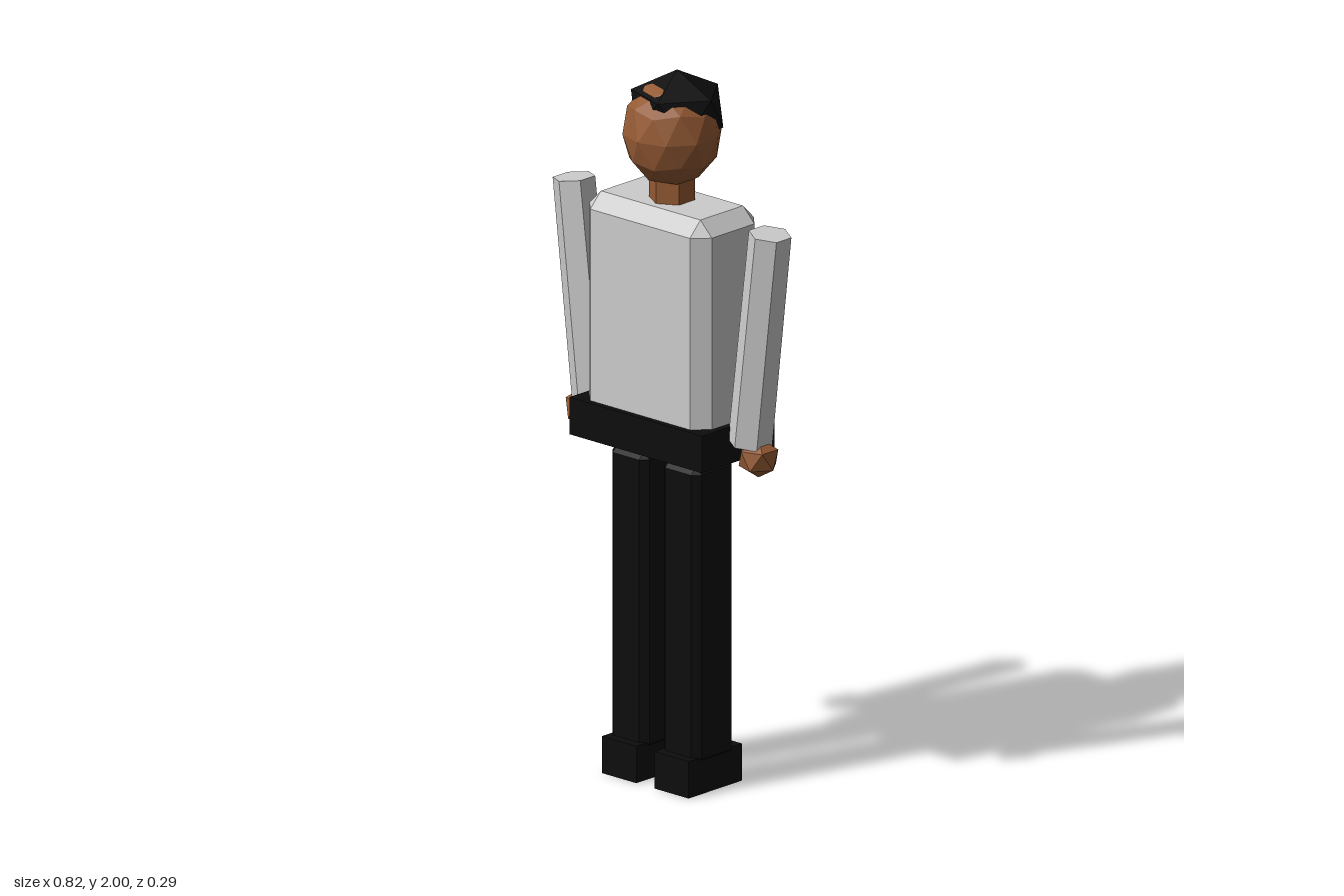
import * as THREE from 'three';
import { ConvexGeometry } from 'three/addons/geometries/ConvexGeometry.js';

const material = (name, color) => {
  const m = new THREE.MeshStandardMaterial({ color, flatShading: true });
  m.name = name;
  return m;
};

// Box with every edge cut by a flat chamfer c
function chamferBox(w, h, d, c) {
  const half = [w / 2, h / 2, d / 2];
  const points = [];
  for (const sx of [-1, 1]) for (const sy of [-1, 1]) for (const sz of [-1, 1])
    for (let axis = 0; axis < 3; axis++) {
      const p = half.map((v, i) => (i === axis ? v : v - c));
      points.push(new THREE.Vector3(p[0] * sx, p[1] * sy, p[2] * sz));
    }
  return new ConvexGeometry(points);
}

// Icosphere with a vertex at each pole, split into halved triangles when detail is 1
function poleSphere(rx, ry, rz, detail) {
  return new THREE.IcosahedronGeometry(1, detail)
    .rotateX(-Math.atan((1 + Math.sqrt(5)) / 2))
    .rotateY(Math.PI / 2)
    .scale(rx, ry, rz);
}

export function createModel() {
  const model = new THREE.Group();
  model.name = 'standingMan';
  const shirt = material('shirtGrey', 0xcccccc);
  const black = material('clothBlack', 0x0d0d0d);
  const skin = material('skinBrown', 0x945a34);

  const add = (name, geometry, mat, x, y, z) => {
    const mesh = new THREE.Mesh(geometry, mat);
    mesh.name = name;
    mesh.position.set(x, y, z);
    model.add(mesh);
    return mesh;
  };

  // Body
  add('torso', chamferBox(0.45, 0.7, 0.252, 0.042), shirt, 0, 1.29, 0);
  add('belt', new THREE.BoxGeometry(0.488, 0.105, 0.286), black, 0, 1.003, 0);

  // Head; the hair cap sits slightly back and the forehead breaks through it
  add('neck', new THREE.CylinderGeometry(0.063, 0.063, 0.15, 6), skin, 0, 1.69, 0);
  add('head', poleSphere(0.136, 0.15, 0.136, 1), skin, 0, 1.8295, 0);
  add('hair', poleSphere(0.14, 0.11, 0.14, 0), black, 0, 1.89, -0.02);

  // Limbs, mirrored left and right
  for (const [side, s] of [['left', 1], ['right', -1]]) {
    const arm = add(side + 'Arm', new THREE.CylinderGeometry(0.059, 0.061, 0.613, 6), shirt, s * 0.324, 1.316, 0);
    arm.rotation.z = -s * 0.12;
    const hand = add(side + 'Hand', poleSphere(0.06, 0.056, 0.06, 0), skin, s * 0.318, 0.977, 0);
    if (s > 0) hand.rotation.y = Math.PI;
    add(side + 'Leg', chamferBox(0.136, 0.845, 0.158, 0.02), black, s * 0.096, 0.5035, 0);
    add(side + 'Shoe', new THREE.BoxGeometry(0.126, 0.105, 0.21), black, s * 0.096, 0.0525, 0);
  }
  return model;
}
